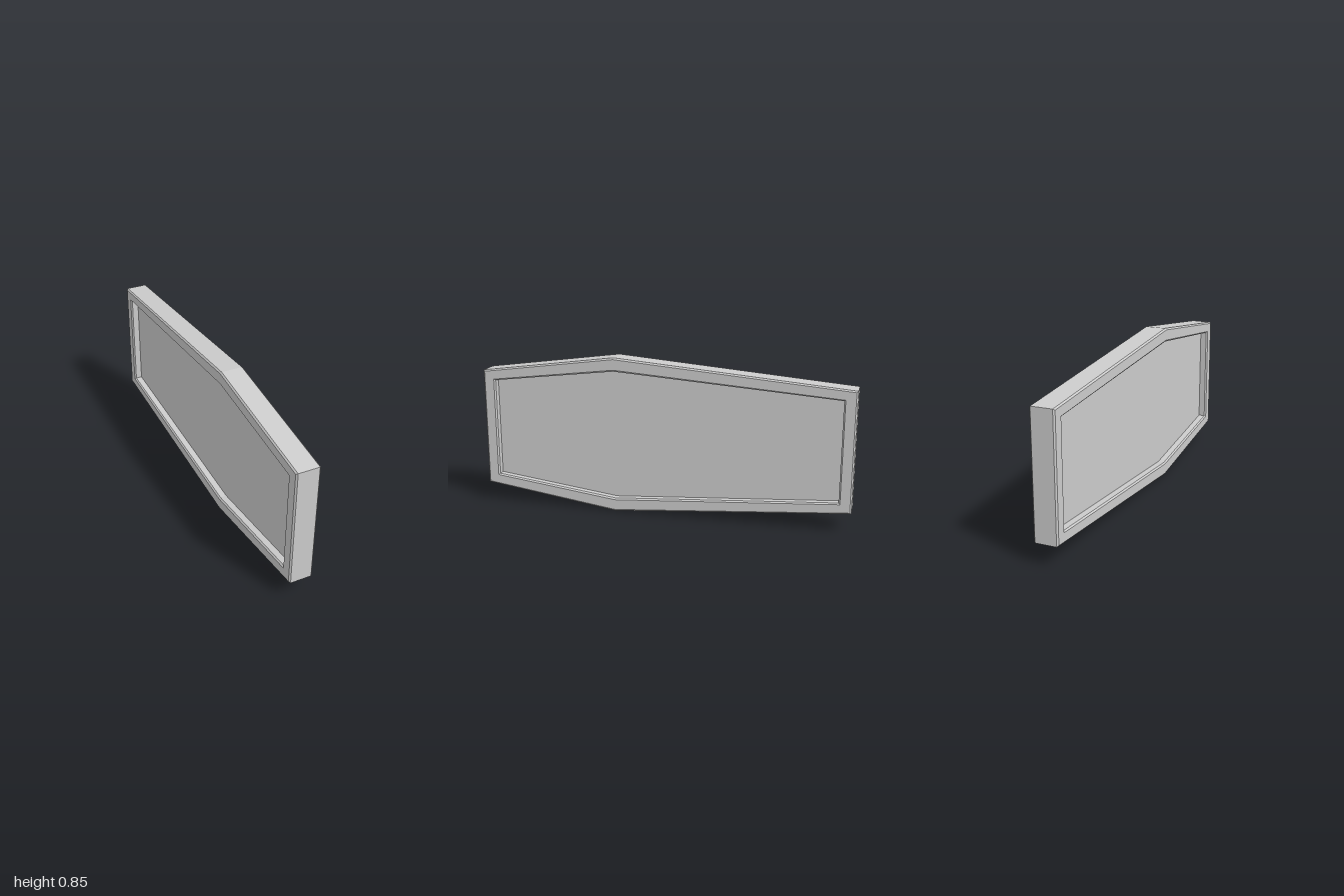
import * as THREE from 'three';

const MID_Y = 0.4235, APEX_Z = 0.26;

// Six-sided outline as [z, y] pairs, inset by d from the outer edge
function outline(d) {
  const end = 1 - d, apex = MID_Y - 1.1 * d, corner = 0.32 - 0.8 * d;
  return [
    [end, -corner], [APEX_Z, -apex], [-end, -corner],
    [-end, corner], [APEX_Z, apex], [end, corner],
  ].map(([z, y]) => [z, y + MID_Y]);
}

// Sweeps a closed [inset, x] profile around the outline
function frameGeometry(profile) {
  const rings = profile.map(([d, x]) => outline(d).map(([z, y]) => [x, y, z]));
  const positions = [];
  rings.forEach((ring, j) => {
    const next = rings[(j + 1) % rings.length];
    ring.forEach((a, i) => {
      const k = (i + 1) % ring.length;
      positions.push(...a, ...ring[k], ...next[k], ...a, ...next[k], ...next[i]);
    });
  });
  const geometry = new THREE.BufferGeometry();
  geometry.setAttribute('position', new THREE.Float32BufferAttribute(positions, 3));
  geometry.computeVertexNormals();
  return geometry;
}

export function createModel() {
  const model = new THREE.Group();
  model.name = 'framedPanel';
  const material = new THREE.MeshStandardMaterial({ color: 0xcccccc, flatShading: true });

  // Frame with chamfered outer and inner edges on both faces
  const frame = new THREE.Mesh(frameGeometry([
    [0, -0.055], [0, 0.055], [0.008, 0.0625], [0.059, 0.0625],
    [0.067, 0.055], [0.067, -0.055], [0.059, -0.0625], [0.008, -0.0625],
  ]), material);
  frame.name = 'frame';
  model.add(frame);

  // Recessed panel, its edge seated inside the frame
  const thickness = 0.042;
  const shape = new THREE.Shape(outline(0.06).map(([z, y]) => new THREE.Vector2(-z, y)));
  const panelGeometry = new THREE.ExtrudeGeometry(shape, { depth: thickness, bevelEnabled: false });
  panelGeometry.translate(0, 0, -thickness / 2).rotateY(Math.PI / 2);
  const panel = new THREE.Mesh(panelGeometry, material);
  panel.name = 'panel';
  model.add(panel);

  return model;
}
